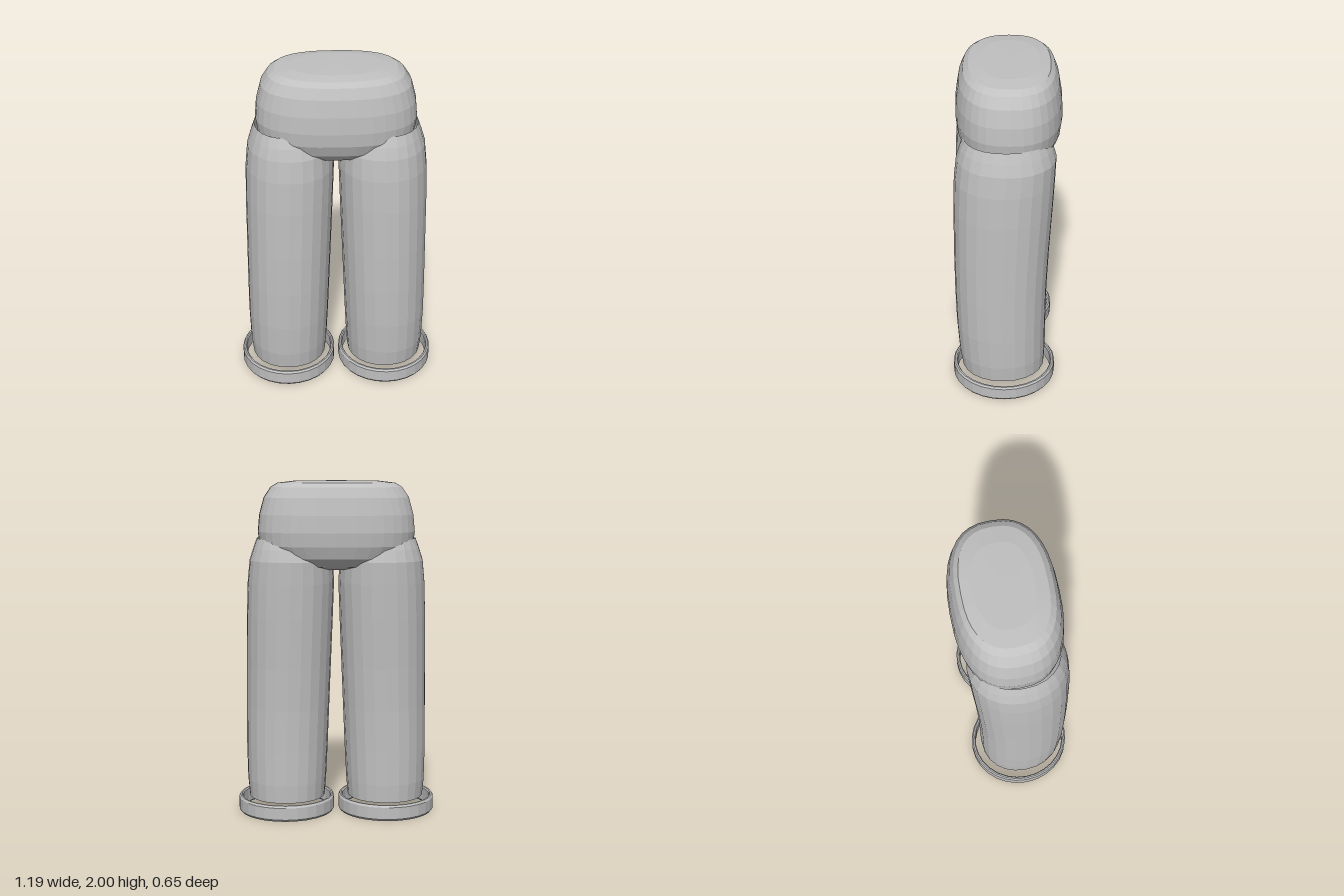
import * as THREE from 'three';

// Lofts rounded cross-sections [y, xMin, xMax, zMin, zMax], listed bottom to top.
function loft(sections, sides, power) {
  const pos = [], index = [];
  const round = (v) => Math.sign(v) * Math.abs(v) ** (2 / power);
  for (const [y, x0, x1, z0, z1] of sections) {
    for (let i = 0; i < sides; i++) {
      const a = (i / sides) * Math.PI * 2;
      pos.push(
        (x0 + x1) / 2 + ((x1 - x0) / 2) * round(Math.cos(a)),
        y,
        (z0 + z1) / 2 + ((z1 - z0) / 2) * round(Math.sin(a))
      );
    }
  }
  for (let r = 0; r < sections.length - 1; r++) {
    for (let i = 0; i < sides; i++) {
      const j = (i + 1) % sides;
      const a = r * sides + i, b = r * sides + j;
      const c = a + sides, d = b + sides;
      index.push(a, c, b, b, c, d);
    }
  }
  const geo = new THREE.BufferGeometry();
  geo.setAttribute('position', new THREE.Float32BufferAttribute(pos, 3));
  geo.setIndex(index);
  geo.computeVertexNormals();
  return geo;
}

export function createModel() {
  const group = new THREE.Group();
  const cloth = new THREE.MeshStandardMaterial({
    color: 0xc0c0c0, flatShading: true, side: THREE.DoubleSide,
  });
  cloth.name = 'grey cloth';

  const add = (name, geo) => {
    const mesh = new THREE.Mesh(geo, cloth);
    mesh.name = name;
    group.add(mesh);
    return mesh;
  };

  // Hips: closed rounded block, narrowing to the crotch
  const hipSections = [
    [1.475, 0, 0, -0.02, -0.02],
    [1.48, -0.1, 0.1, -0.15, 0.13],
    [1.5, -0.25, 0.25, -0.235, 0.2],
    [1.55, -0.4, 0.4, -0.29, 0.25],
    [1.62, -0.455, 0.455, -0.315, 0.278],
    [1.7, -0.466, 0.466, -0.325, 0.286],
    [1.8, -0.457, 0.457, -0.32, 0.282],
    [1.9, -0.43, 0.43, -0.303, 0.265],
    [1.96, -0.39, 0.39, -0.28, 0.24],
    [1.985, -0.35, 0.35, -0.255, 0.21],
    [1.997, -0.25, 0.25, -0.19, 0.14],
    [2.0, 0, 0, -0.02, -0.02],
  ];
  add('hips', loft(hipSections, 36, 2.5));

  // Legs: open tubes, leaning forward and outward towards the hem
  const legSections = [
    [0.095, 0.07, 0.53, -0.235, 0.27],
    [0.2, 0.062, 0.54, -0.24, 0.285],
    [0.4, 0.052, 0.545, -0.24, 0.298],
    [0.65, 0.042, 0.543, -0.243, 0.304],
    [0.9, 0.032, 0.54, -0.253, 0.305],
    [1.2, 0.02, 0.537, -0.27, 0.302],
    [1.4, 0.013, 0.53, -0.28, 0.295],
    [1.53, 0.02, 0.517, -0.285, 0.28],
    [1.6, 0.05, 0.495, -0.265, 0.26],
    [1.66, 0.08, 0.473, -0.24, 0.235],
  ];

  // Cuffs: thin bands standing clear of the legs
  const cuffProfile = [
    [0.268, 0.008], [0.274, 0], [0.283, 0], [0.291, 0.012], [0.291, 0.083],
    [0.283, 0.095], [0.274, 0.095], [0.268, 0.087], [0.268, 0.008],
  ].map(([r, y]) => new THREE.Vector2(r, y));

  for (const [side, name] of [[1, 'left'], [-1, 'right']]) {
    const sections = legSections.map(([y, x0, x1, z0, z1]) =>
      side > 0 ? [y, x0, x1, z0, z1] : [y, -x1, -x0, z0, z1]);
    add(name + 'Leg', loft(sections, 24, 2.15));

    const cuff = add(name + 'Cuff', new THREE.LatheGeometry(cuffProfile, 28));
    cuff.position.set(side * 0.304, 0, 0.012);
    cuff.scale.z = 1.075;
  }
  return group;
}
